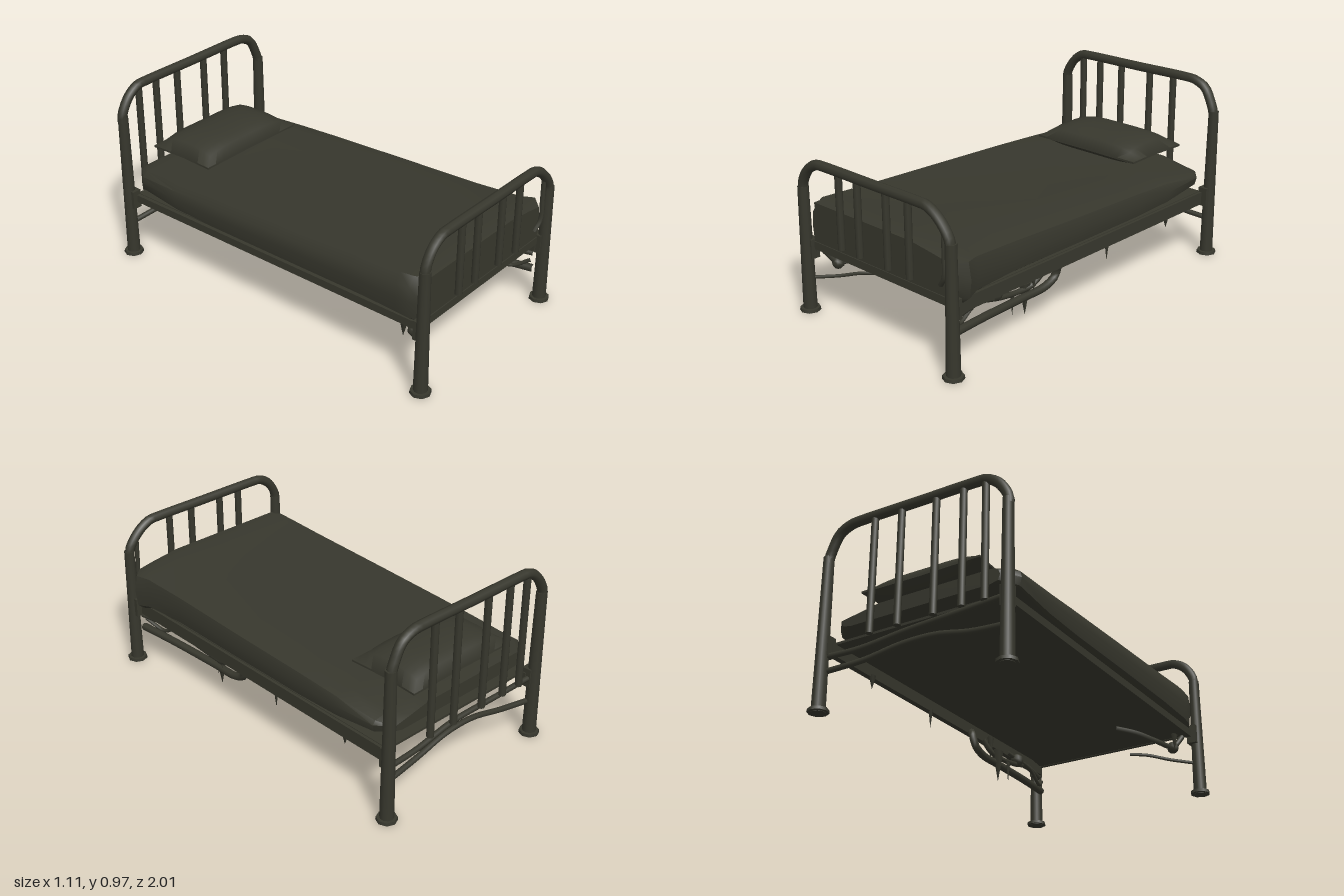
import * as THREE from 'three';
import { toCreasedNormals } from 'three/addons/utils/BufferGeometryUtils.js';

export function createModel() {
  const bed = new THREE.Group();
  bed.name = 'bed';
  const olive = new THREE.MeshStandardMaterial({ color: 0x37372d });
  olive.name = 'dark olive';

  const add = (name, geometry, x = 0, y = 0, z = 0) => {
    const mesh = new THREE.Mesh(geometry, olive);
    mesh.name = name;
    mesh.position.set(x, y, z);
    bed.add(mesh);
    return mesh;
  };
  const tube = (name, points, radius, segments = 24) => {
    const curve = new THREE.CatmullRomCurve3(points.map(p => new THREE.Vector3(...p)), false, 'centripetal');
    return add(name, new THREE.TubeGeometry(curve, segments, radius, 8));
  };
  // Closed surface through rings of [x, y] corners, counterclockwise from the front
  const loft = (rings) => {
    const n = rings[0].points.length, positions = [], index = [];
    rings.forEach(r => r.points.forEach(([x, y]) => positions.push(x, y, r.z)));
    for (let i = 0; i < rings.length - 1; i++) {
      for (let j = 0; j < n; j++) {
        const a = i * n + j, b = i * n + (j + 1) % n;
        index.push(a, b, b + n, a, b + n, a + n);
      }
    }
    const last = (rings.length - 1) * n;
    for (let j = 1; j < n - 1; j++) {
      index.push(0, j + 1, j, last, last + j, last + j + 1);
    }
    const geometry = new THREE.BufferGeometry();
    geometry.setAttribute('position', new THREE.Float32BufferAttribute(positions, 3));
    geometry.setIndex(index);
    return toCreasedNormals(geometry, 0.7);
  };

  // Head and foot boards: posts with flanges, a bent top tube and upright bars
  const board = (name, z, postTop, arch, bars, barBottom) => {
    for (const side of [-1, 1]) {
      const x = side * 0.503;
      add(name + 'Post', new THREE.CylinderGeometry(0.027, 0.035, postTop, 10), x, postTop / 2, z);
      add(name + 'Flange', new THREE.CylinderGeometry(0.05, 0.052, 0.016, 8), x, 0.01, z);
    }
    tube(name + 'TopTube', arch.map(([x, y]) => [x, y, z]), 0.025, 48);
    const top = arch[4][1];
    for (const x of bars) {
      add(name + 'Bar', new THREE.CylinderGeometry(0.018, 0.018, top - barBottom, 8), x, (top + barBottom) / 2, z);
    }
  };
  board('headboard', -0.95, 0.8,
    [[-0.507, 0.77], [-0.505, 0.81], [-0.455, 0.895], [-0.39, 0.938], [-0.34, 0.942], [0, 0.945],
      [0.32, 0.949], [0.37, 0.946], [0.44, 0.915], [0.485, 0.835], [0.5, 0.79], [0.501, 0.76]],
    [-0.385, -0.265, -0.115, 0.08, 0.235], 0.33);
  board('footboard', 0.953, 0.65,
    [[-0.503, 0.62], [-0.5, 0.67], [-0.455, 0.745], [-0.39, 0.784], [-0.34, 0.787], [0, 0.787],
      [0.31, 0.787], [0.36, 0.784], [0.43, 0.745], [0.492, 0.67], [0.503, 0.62]],
    [-0.235, -0.105, 0.09, 0.235], 0.4);
  tube('footboardSideBar', [[0.455, 0.71, 0.95], [0.457, 0.58, 0.95], [0.455, 0.48, 0.95], [0.42, 0.425, 0.94]], 0.012);

  // Mattress with draped blanket: z, left x, right x, bottom, edge top, sag
  const sections = [
    [-0.915, -0.44, 0.43, 0.42, 0.495, 0.0],
    [-0.84, -0.505, 0.495, 0.405, 0.51, 0.01],
    [-0.6, -0.51, 0.5, 0.37, 0.522, 0.025],
    [-0.35, -0.512, 0.502, 0.36, 0.533, 0.028],
    [0.1, -0.515, 0.505, 0.36, 0.547, 0.02],
    [0.55, -0.515, 0.505, 0.36, 0.562, 0.01],
    [0.8, -0.515, 0.515, 0.35, 0.573, 0.002],
    [0.87, -0.51, 0.54, 0.34, 0.578, 0.0],
    [0.93, -0.475, 0.48, 0.33, 0.572, 0.0]];
  add('mattress', loft(sections.map(([z, l, r, b, t, sag]) => {
    const h = t - b, crease = -0.27 - 0.13 * (z + 0.5);
    return { z, points: [
      [l + 0.05, b], [r - 0.05, b], [r - 0.012, b + h * 0.13], [r, b + h * 0.5],
      [r - 0.016, t - 0.034], [r - 0.1, t - 0.02], [0.22, t - sag * 0.8], [0, t - sag], [crease, t - sag * 0.2],
      [l + 0.04, t], [l + 0.008, t - h * 0.2], [l, b + h * 0.5], [l + 0.01, b + h * 0.13]] };
  })));

  // Pillow: a cushion domed in the middle and thin at its rim
  const cushion = new THREE.BoxGeometry(2, 2, 2, 12, 2, 10);
  const p = cushion.attributes.position;
  for (let i = 0; i < p.count; i++) {
    const x = p.getX(i), y = p.getY(i), z = p.getZ(i);
    const puff = Math.pow(1 - Math.abs(x) ** 4, 0.7) * Math.pow(1 - Math.abs(z) ** 2.5, 0.6);
    const height = y > 0 ? 0.08 : 0.047;
    const flare = 0.96 + 0.03 * Math.abs(x * z);
    p.setXYZ(i, x * 0.33 * flare, y * (0.005 + height * puff), z * 0.199 * flare);
  }
  add('pillow', toCreasedNormals(cushion, 0.9), -0.008, 0.577, -0.722);

  // Frame rails, deeper on the crank side, with corner brackets
  add('rightRail', new THREE.BoxGeometry(0.03, 0.068, 1.86), 0.47, 0.321, 0);
  add('leftRail', new THREE.BoxGeometry(0.03, 0.04, 1.86), -0.475, 0.335, 0);
  for (const side of [-1, 1]) {
    for (const z of [-0.93, 0.93]) add('cornerBracket', new THREE.BoxGeometry(0.05, 0.1, 0.05), side * 0.49, 0.33, z);
  }
  add('springBase', new THREE.BoxGeometry(0.94, 0.012, 1.82), 0, 0.352, 0);
  add('footCrossRail', new THREE.BoxGeometry(0.96, 0.04, 0.02), 0, 0.35, 0.925);

  // Bowed rods between the head posts
  tube('headUpperRod', [[-0.5, 0.33, -0.94], [-0.25, 0.32, -0.93], [0.05, 0.31, -0.92], [0.3, 0.28, -0.93], [0.5, 0.28, -0.94]], 0.014);
  tube('headLowerRod', [[-0.5, 0.19, -0.94], [-0.3, 0.215, -0.92], [-0.1, 0.255, -0.91], [0.08, 0.255, -0.91], [0.28, 0.222, -0.92], [0.5, 0.205, -0.94]], 0.014);

  // Bent crank tubes under the foot end
  tube('crankTube', [[0.46, 0.19, 0.93], [0.43, 0.18, 0.7], [0.4, 0.165, 0.4], [0.4, 0.17, 0.24], [0.4, 0.2, 0.17], [0.41, 0.25, 0.16], [0.44, 0.29, 0.19]], 0.02, 30);
  tube('crankLever', [[0.47, 0.27, 0.92], [0.42, 0.26, 0.7], [0.4, 0.22, 0.55], [0.39, 0.2, 0.42], [0.4, 0.21, 0.33], [0.42, 0.27, 0.27]], 0.014);
  tube('crankBrace', [[0.45, 0.24, 0.92], [0.41, 0.19, 0.82], [0.4, 0.24, 0.72], [0.41, 0.27, 0.5]], 0.01);
  tube('leftCrankTube', [[-0.48, 0.175, 0.93], [-0.38, 0.19, 0.86], [-0.28, 0.215, 0.8], [-0.2, 0.22, 0.75]], 0.009);
  tube('leftLever', [[-0.44, 0.32, 0.9], [-0.41, 0.25, 0.84], [-0.36, 0.26, 0.74], [-0.29, 0.29, 0.66], [-0.2, 0.315, 0.6]], 0.014);
  add('leftJoint', new THREE.SphereGeometry(0.032, 8, 6), -0.41, 0.245, 0.84);
  add('rightJoint', new THREE.SphereGeometry(0.035, 8, 6), 0.4, 0.25, 0.58);

  // Torn scraps hanging from the frame: x, y of top, z, length, width
  for (const [x, y, z, length, width] of [
    [0.385, 0.23, 0.365, 0.17, 0.04], [0.36, 0.18, 0.425, 0.11, 0.015], [0.41, 0.3, 0.33, 0.12, 0.025],
    [0.46, 0.3, -0.15, 0.1, 0.016], [0.46, 0.3, -0.63, 0.07, 0.025], [-0.44, 0.3, 0.8, 0.09, 0.025]]) {
    const scrap = add('tornScrap', new THREE.ConeGeometry(width, length, 6), x, y - length / 2, z);
    scrap.rotation.x = Math.PI;
    scrap.scale.x = 0.6;
  }
  return bed;
}
